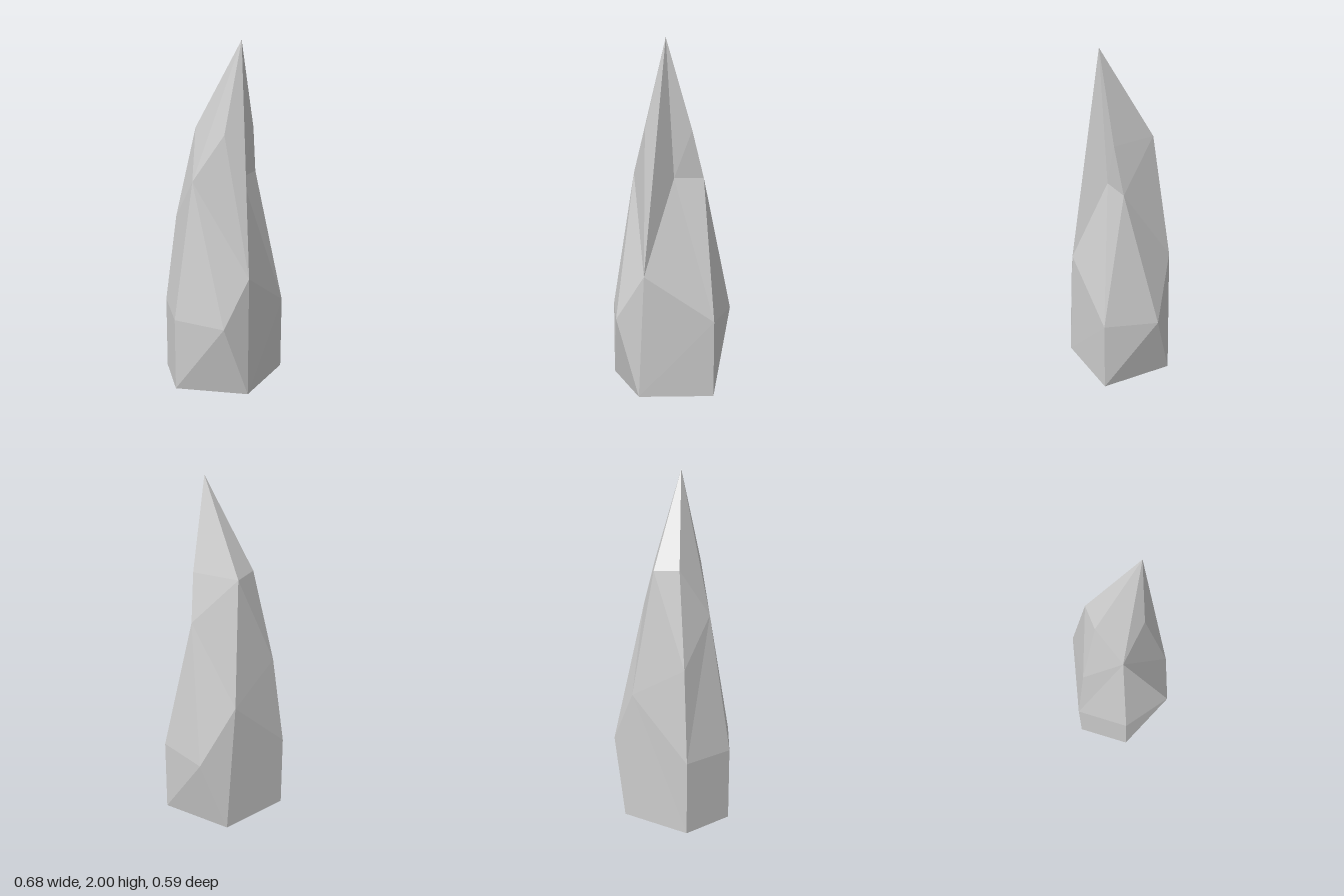
import * as THREE from 'three';

// Corners of the crystal, ring by ring from the foot to the tip: [x, y, z]
const corners = {
  // footprint
  a0: [-0.055, 0, 0.295], b0: [0.338, 0, 0.137], c0: [0.217, 0, -0.27], d0: [-0.205, 0, -0.298], e0: [-0.34, 0, -0.02],
  // shoulder
  a1: [-0.205, 0.435, 0.261], b1: [0.338, 0.44, 0.137], c1: [0.338, 0.435, -0.175], d1: [-0.205, 0.44, -0.298], e1: [-0.34, 0.435, -0.02],
  // waist
  a2: [-0.031, 0.7, 0.269], c2: [0.155, 0.78, -0.27], d2: [-0.16, 0.97, -0.243],
  // neck
  a3: [0.075, 1.23, 0.073], b3: [0.228, 1.23, 0.008], e3: [-0.205, 1.23, -0.02],
  // crown
  a4: [-0.083, 1.5, 0.112], b4: [0.173, 1.5, 0.052], c4: [0.058, 1.49, -0.182], d4: [-0.083, 1.5, -0.15],
  tip: [0.038, 2, 0.107],
};

// Facets of each part, named by their corners
const parts = {
  base: ['a0 b0 c0 d0 e0'],
  lowerFacets: [
    'a0 b0 b1 a2', 'a0 a2 a1', 'e0 a0 a1', 'e0 a1 e1', 'd0 e0 e1 d1',
    'd0 d1 c2 c0', 'c0 c2 c1', 'b0 c0 c1', 'b0 c1 b1',
  ],
  middleFacets: [
    'a2 b1 a3', 'a3 b1 b3', 'b1 c1 b3', 'c1 c2 b3', 'b3 c2 c4', 'c2 d1 d2',
    'c2 d2 c4', 'c4 d2 d4', 'd1 e3 d2', 'd2 e3 d4', 'd1 e1 e3', 'e1 a1 e3', 'a1 a2 e3', 'a2 a4 e3',
  ],
  tipFacets: [
    'a2 a3 tip', 'a2 tip a4', 'a3 b4 tip', 'a3 b3 b4', 'b3 c4 b4',
    'b4 c4 tip', 'c4 d4 tip', 'd4 e3 tip', 'e3 a4 tip',
  ],
};

const core = new THREE.Vector3(0, 0.7, 0);

// Splits each facet into a fan of triangles, all turned away from the core
function facetGeometry(facets) {
  const points = [];
  for (const facet of facets) {
    const ring = facet.split(' ').map((key) => new THREE.Vector3(...corners[key]));
    for (let i = 1; i < ring.length - 1; i++) {
      const tri = new THREE.Triangle(ring[0], ring[i], ring[i + 1]);
      const outward = tri.getMidpoint(new THREE.Vector3()).sub(core);
      const faces = tri.getNormal(new THREE.Vector3()).dot(outward) > 0;
      points.push(tri.a, ...(faces ? [tri.b, tri.c] : [tri.c, tri.b]));
    }
  }
  const geometry = new THREE.BufferGeometry().setFromPoints(points);
  geometry.computeVertexNormals();
  return geometry;
}

export function createModel() {
  const crystal = new THREE.Group();
  crystal.name = 'crystal';
  const stone = new THREE.MeshStandardMaterial({ color: 0xcccccc, flatShading: true });
  for (const [name, facets] of Object.entries(parts)) {
    const mesh = new THREE.Mesh(facetGeometry(facets), stone);
    mesh.name = name;
    crystal.add(mesh);
  }
  return crystal;
}
